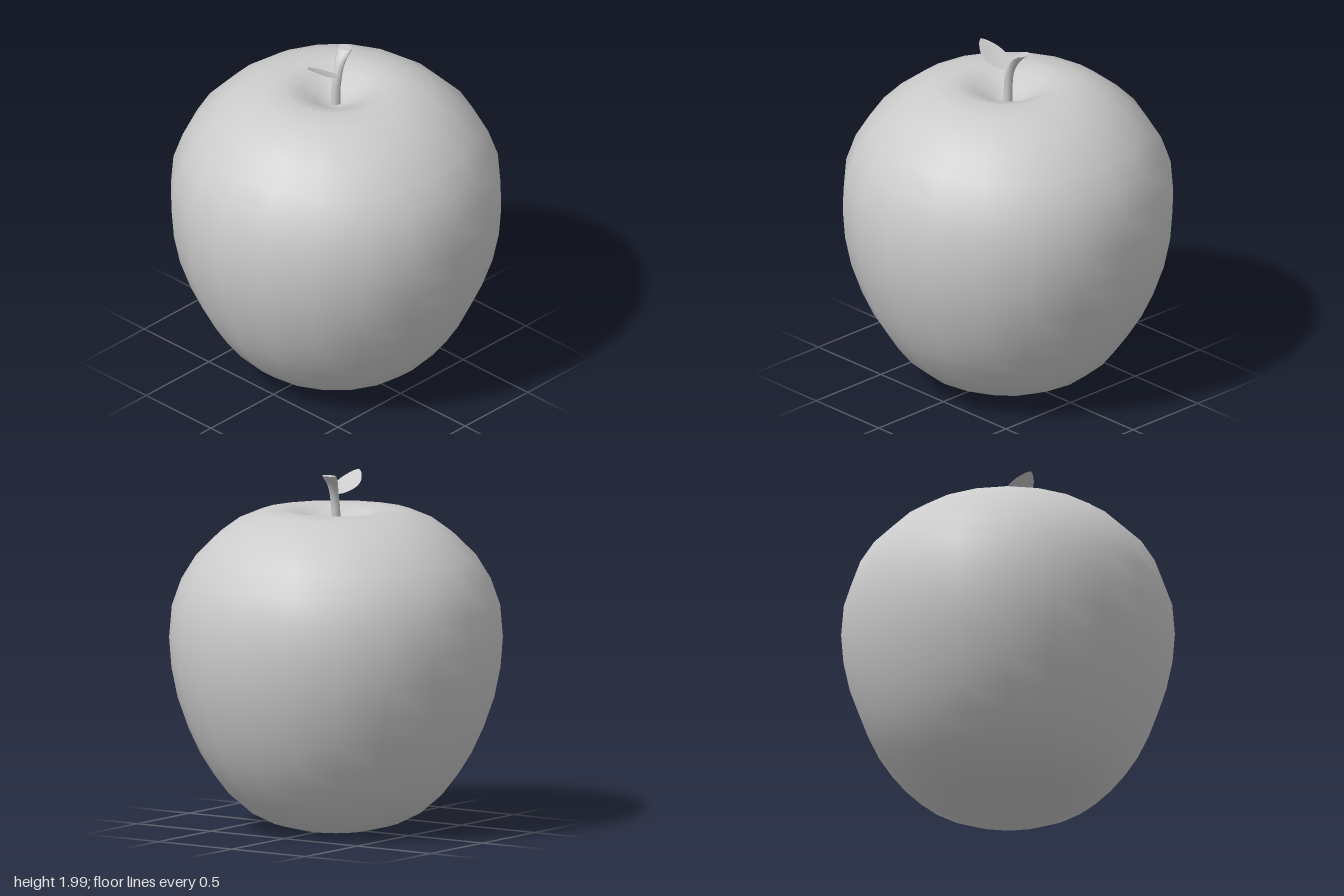
import * as THREE from 'three';

const material = new THREE.MeshStandardMaterial({ color: 0xcccccc });
const leafMaterial = new THREE.MeshStandardMaterial({ color: 0xcccccc, side: THREE.DoubleSide });

// Moves every vertex of a geometry by a rule
function reshape(geometry, rule) {
  const pos = geometry.attributes.position;
  const uv = geometry.attributes.uv;
  const p = new THREE.Vector3();
  for (let i = 0; i < pos.count; i++) {
    p.fromBufferAttribute(pos, i);
    rule(p, uv.getX(i), uv.getY(i));
    pos.setXYZ(i, p.x, p.y, p.z);
  }
  geometry.computeVertexNormals();
  return geometry;
}

// Fruit: a revolved profile with a dimple at each end
function makeFruit() {
  const profile = [
    [0, 0.05], [0.1, 0.03], [0.2, 0.005], [0.36, 0.045], [0.49, 0.11], [0.595, 0.2],
    [0.68, 0.31], [0.755, 0.43], [0.82, 0.57], [0.88, 0.74], [0.915, 0.91], [0.928, 1.08],
    [0.913, 1.26], [0.86, 1.41], [0.78, 1.54], [0.67, 1.65], [0.56, 1.73], [0.43, 1.785],
    [0.3, 1.8], [0.2, 1.775], [0.11, 1.715], [0.05, 1.69], [0, 1.685],
  ].map(([r, y]) => new THREE.Vector2(r, y));
  return new THREE.Mesh(new THREE.LatheGeometry(profile, 20), material);
}

// Stem: a cylinder bent along a curve, flaring to an oval tip
function makeStem() {
  const path = new THREE.CatmullRomCurve3([
    new THREE.Vector3(0, 1.68, 0),
    new THREE.Vector3(0.002, 1.79, 0),
    new THREE.Vector3(0.017, 1.88, 0),
    new THREE.Vector3(0.05, 1.95, -0.01),
    new THREE.Vector3(0.098, 1.997, -0.022),
  ]);
  const height = 1;
  const geometry = new THREE.CylinderGeometry(1, 1, height, 12, 10);
  reshape(geometry, (p) => {
    const t = p.y / height + 0.5;
    const c = path.getPoint(t);
    const flare = THREE.MathUtils.smoothstep(t, 0.5, 1);
    p.set(c.x + p.x * (0.025 + 0.005 * flare), c.y, c.z + p.z * (0.025 + 0.018 * flare));
  });
  return new THREE.Mesh(geometry, material);
}

// Leaf: a thin sheet, narrow at the stem, with a shallow fold along its middle
function makeLeaf() {
  const geometry = new THREE.PlaneGeometry(1, 1, 16, 4);
  reshape(geometry, (p, u, v) => {
    const halfWidth = 0.004 + 0.074 * Math.pow(Math.sin(Math.PI * Math.pow(u, 0.9)), 0.75);
    const side = 1 - 2 * v;
    const droop = 0.012 * Math.sin(Math.PI * u);
    const fold = 0.006 * Math.abs(side) * Math.sin(Math.PI * u);
    p.set(-0.008 - 0.21 * u, 1.88 + 0.118 * u - droop + fold, side * halfWidth);
  });
  return new THREE.Mesh(geometry, leafMaterial);
}

export function createModel() {
  const model = new THREE.Group();
  model.name = 'apple';
  const parts = { fruit: makeFruit(), stem: makeStem(), leaf: makeLeaf() };
  for (const [name, mesh] of Object.entries(parts)) {
    mesh.name = name;
    model.add(mesh);
  }
  return model;
}
